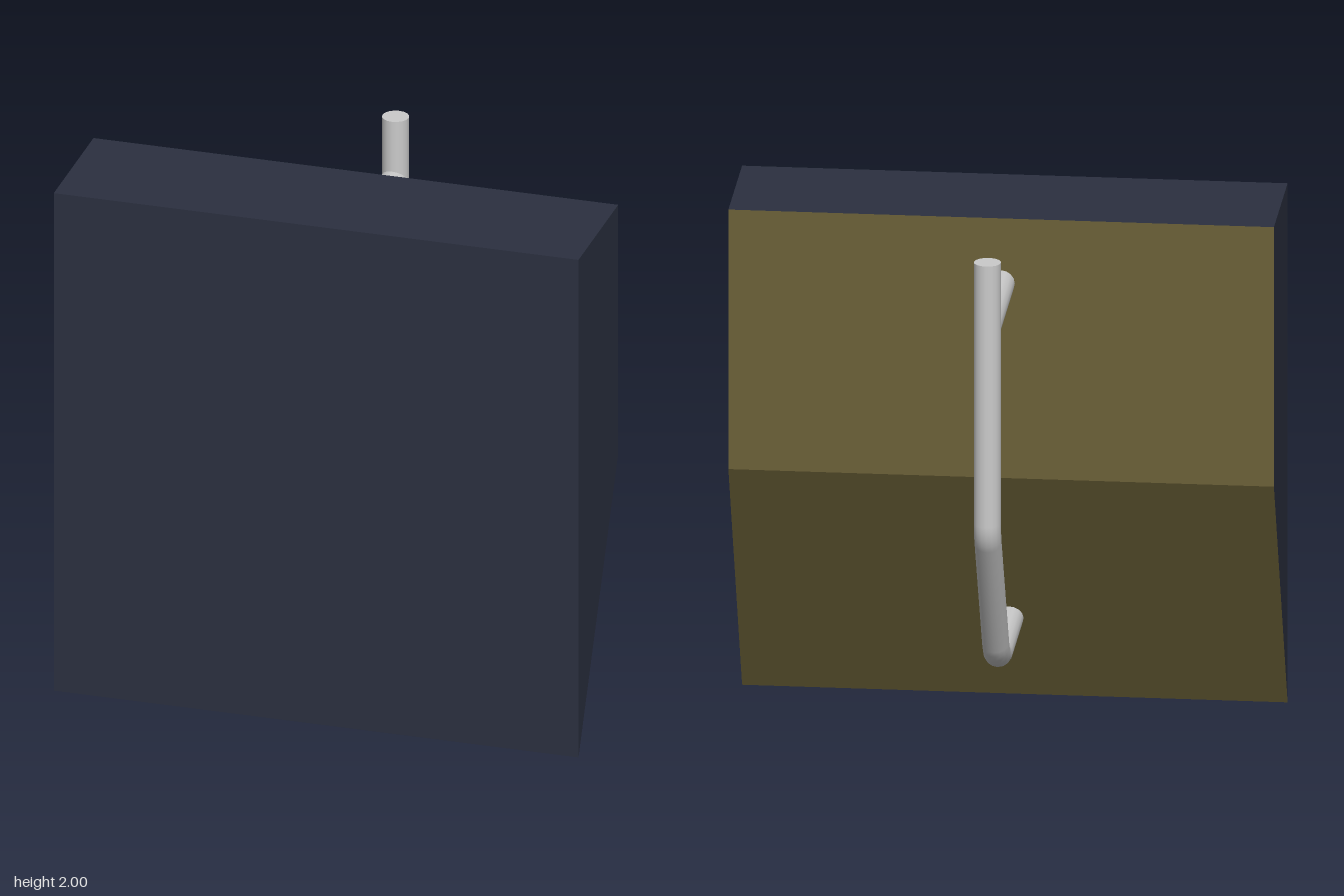
import * as THREE from 'three';

const R = 0.05, SIDES = 16;

// Path of straight runs and true arcs in the x = 0 plane; angle 0 heads +z, 90 degrees heads up
class BentPath extends THREE.Curve {
  constructor(z, y, angle) {
    super();
    this.pos = new THREE.Vector3(0, y, z);
    this.angle = angle;
    this.points = [];
    this.tangents = [];
    this.mark();
  }
  heading(a = this.angle) {
    return new THREE.Vector3(0, Math.sin(a), Math.cos(a));
  }
  mark() {
    this.points.push(this.pos.clone());
    this.tangents.push(this.heading());
    return this;
  }
  run(length) {
    this.pos.addScaledVector(this.heading(), length);
    return this.mark();
  }
  bend(turn, radius, steps) {
    const d = turn / steps;
    for (let i = 0; i < steps; i++) {
      this.pos.addScaledVector(this.heading(this.angle + d / 2), 2 * radius * Math.sin(Math.abs(d) / 2));
      this.angle += d;
      this.mark();
    }
    return this;
  }
  getPointAt(u) { return this.points[Math.round(u * (this.points.length - 1))].clone(); }
  getTangentAt(u) { return this.tangents[Math.round(u * (this.points.length - 1))].clone(); }
}

export function createModel() {
  const model = new THREE.Group();
  const navy = new THREE.MeshStandardMaterial({ color: 0x2b3040 });
  const olive = new THREE.MeshStandardMaterial({ color: 0x6b6137 });
  const grey = new THREE.MeshStandardMaterial({ color: 0xcccccc });

  const add = (name, geometry, material, parent = model) => {
    const mesh = new THREE.Mesh(geometry, material);
    mesh.name = name;
    parent.add(mesh);
    return mesh;
  };

  // Wedge-bottomed block: side profile (z, y) extruded across x
  const profile = [[0.525, 0], [0.525, 2], [0.025, 2], [0.025, 1]].map(p => new THREE.Vector2(...p));
  const block = new THREE.ExtrudeGeometry(new THREE.Shape(profile), { depth: 2, bevelEnabled: false });
  block.translate(0, 0, -1).rotateY(-Math.PI / 2);

  // The two rear faces take the second colour
  block.clearGroups();
  const normal = block.attributes.normal;
  for (let i = 0; i < normal.count; i += 3) block.addGroup(i, 3, normal.getZ(i) < -0.1 ? 1 : 0);
  add('block', block, [navy, olive]);

  // Bent pipe: down, sloping in, then forward into the block
  const pipe = new THREE.Group();
  pipe.name = 'pipe';
  model.add(pipe);
  const path = new BentPath(-0.475, 2, -Math.PI / 2)
    .run(1.007).bend(Math.PI / 6, 0.16, 4)
    .run(0.553).bend(Math.PI / 3, 0.16, 8)
    .run(0.42);
  add('bentPipe', new THREE.TubeGeometry(path, path.points.length - 1, R, SIDES), grey, pipe);
  add('pipeTopCap', new THREE.CircleGeometry(R, SIDES).rotateX(-Math.PI / 2), grey, pipe)
    .position.set(0, 2, -0.475);

  // Upper strut joining the pipe to the rear face
  add('upperStrut', new THREE.CylinderGeometry(R, R, 0.5, SIDES).rotateX(Math.PI / 2), grey, pipe)
    .position.set(0, 1.75, -0.225);

  return model;
}
